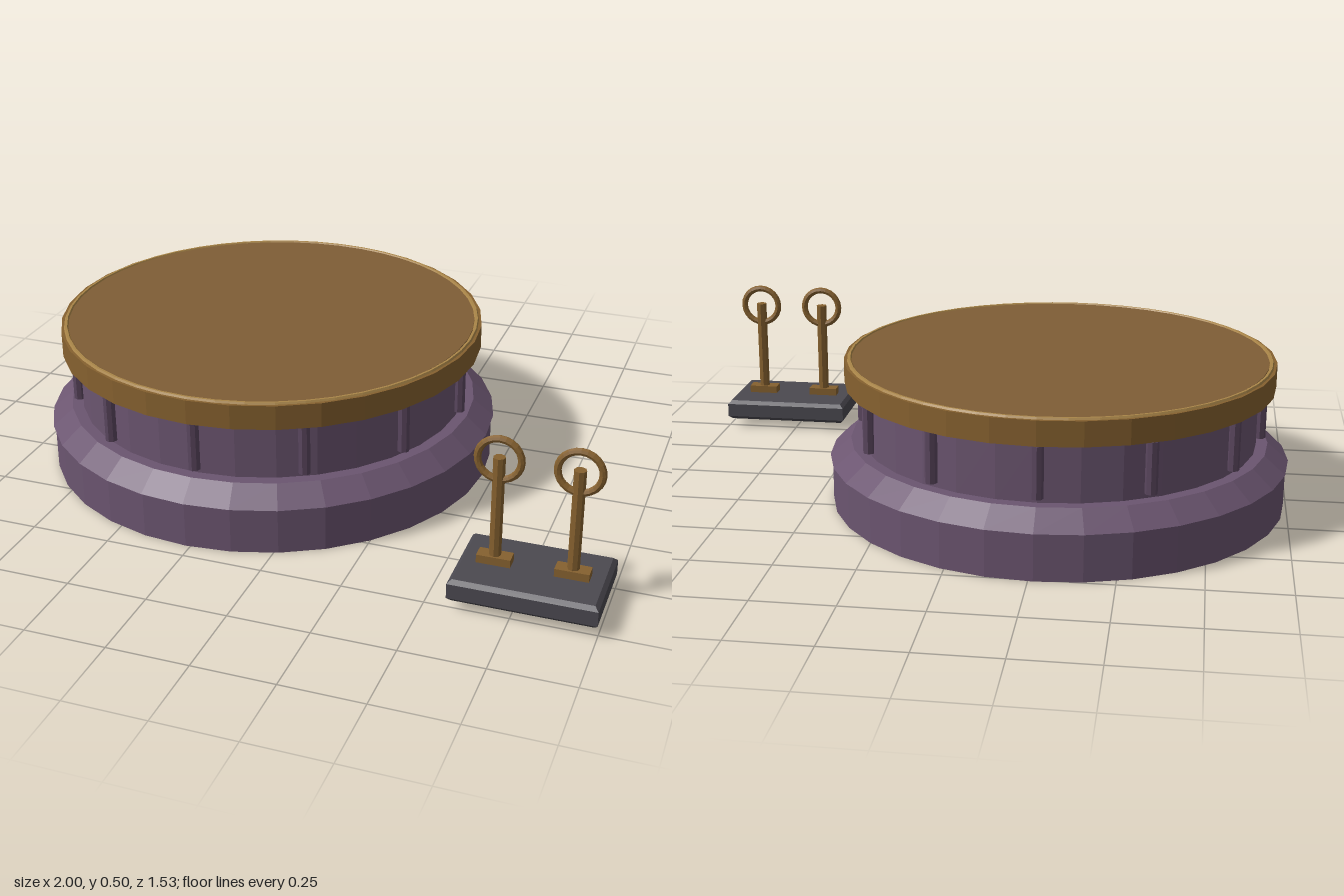
import * as THREE from 'three';

const material = (name, color) => {
  const m = new THREE.MeshStandardMaterial({ color, flatShading: true });
  m.name = name;
  return m;
};

export function createModel() {
  const purple = material('purple stone', 0x6b5570);
  const darkPurple = material('dark purple', 0x5b475f);
  const bronze = material('bronze', 0x86612f);
  const deck = material('deck brown', 0x7f5e36);
  const gold = material('pale gold', 0xa98548);
  const iron = material('dark iron', 0x4b4950);

  const add = (parent, name, geometry, mat, x = 0, y = 0, z = 0) => {
    const mesh = new THREE.Mesh(geometry, mat);
    mesh.name = name;
    mesh.position.set(x, y, z);
    parent.add(mesh);
    return mesh;
  };
  // Cylinder or cone frustum spanning y0 to y1
  const drum = (parent, name, rTop, rBottom, y0, y1, mat, sides = 32) =>
    add(parent, name, new THREE.CylinderGeometry(rTop, rBottom, y1 - y0, sides), mat, 0, (y0 + y1) / 2, 0);

  const model = new THREE.Group();
  model.name = 'turntableAndLevers';

  // Round platform
  const platform = new THREE.Group();
  platform.name = 'platform';
  platform.position.set(-0.265, 0, -0.032);
  model.add(platform);
  drum(platform, 'base', 0.728, 0.728, 0, 0.147, purple);
  drum(platform, 'baseShoulder', 0.668, 0.735, 0.147, 0.203, purple);
  drum(platform, 'neck', 0.632, 0.632, 0.2, 0.395, purple);
  drum(platform, 'cap', 0.685, 0.685, 0.39, 0.467, bronze);
  drum(platform, 'deck', 0.66, 0.66, 0.46, 0.47, deck, 48);
  const trim = add(platform, 'deckTrim', new THREE.TorusGeometry(0.668, 0.007, 6, 48), gold, 0, 0.467, 0);
  trim.rotation.x = Math.PI / 2;

  // Ribs around the neck
  const ribGeometry = new THREE.CylinderGeometry(0.019, 0.019, 0.16, 8);
  for (let i = 0; i < 12; i++) {
    const a = (i / 12) * Math.PI * 2;
    add(platform, 'neckRib', ribGeometry, darkPurple, Math.sin(a) * 0.641, 0.3, Math.cos(a) * 0.641);
  }

  // Lever stand
  const stand = new THREE.Group();
  stand.name = 'leverStand';
  stand.position.set(0.784, 0, 0.624);
  model.add(stand);

  // Bevelled plinth
  const b = 0.012, w = 0.43 / 2 - b, d = 0.285 / 2 - b;
  const outline = new THREE.Shape([[-w, -d], [w, -d], [w, d], [-w, d]].map(([x, y]) => new THREE.Vector2(x, y)));
  const plinth = new THREE.ExtrudeGeometry(outline, {
    depth: 0.07 - 2 * b, bevelThickness: b, bevelSize: b, bevelSegments: 1,
  });
  plinth.rotateX(-Math.PI / 2);
  add(stand, 'plinth', plinth, iron, 0, 0.027 + b, 0);

  // Two levers, each with a foot, a rod and a ring handle
  for (const x of [-0.113, 0.113]) {
    const lever = new THREE.Group();
    lever.name = 'lever';
    lever.position.x = x;
    stand.add(lever);
    add(lever, 'foot', new THREE.BoxGeometry(0.1, 0.03, 0.045), bronze, 0, 0.107, 0);
    drum(lever, 'rod', 0.018, 0.018, 0.1, 0.434, bronze, 8);
    add(lever, 'ringHandle', new THREE.TorusGeometry(0.063, 0.011, 8, 24), bronze, 0, 0.427, 0);
  }

  return model;
}
